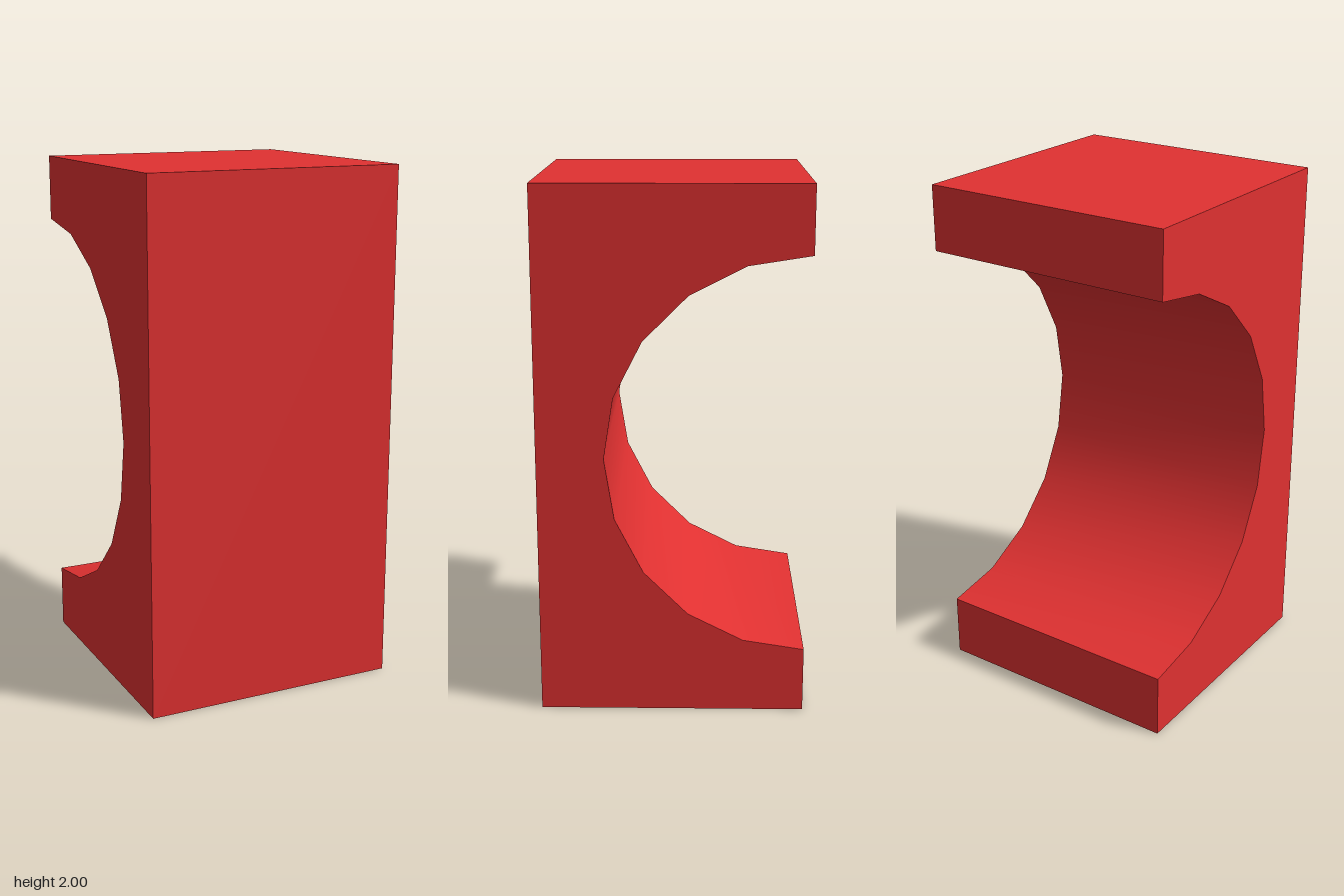
import * as THREE from 'three';
import { toCreasedNormals } from 'three/addons/utils/BufferGeometryUtils.js';

const WIDTH = 1, HEIGHT = 2, HALF_DEPTH = 0.5;
const RADIUS = 0.75, SEGMENTS = 10;

export function createModel() {
  const group = new THREE.Group();
  group.name = 'archBrick';

  // Side profile (z, y): a block with a half-round opening in its back
  const profile = new THREE.Shape();
  profile.moveTo(-HALF_DEPTH, 0);
  profile.lineTo(HALF_DEPTH, 0);
  profile.lineTo(HALF_DEPTH, HEIGHT);
  profile.lineTo(-HALF_DEPTH, HEIGHT);
  for (let i = 0; i <= SEGMENTS; i++) {
    const a = Math.PI / 2 - (i / SEGMENTS) * Math.PI;
    profile.lineTo(-HALF_DEPTH + RADIUS * Math.cos(a), HEIGHT / 2 + RADIUS * Math.sin(a));
  }
  profile.closePath();

  // Extrude across the width; smooth arch, sharp block edges
  const extruded = new THREE.ExtrudeGeometry(profile, { depth: WIDTH, bevelEnabled: false });
  extruded.translate(0, 0, -WIDTH / 2).rotateY(-Math.PI / 2);
  const geometry = toCreasedNormals(extruded, 0.5);

  const block = new THREE.Mesh(geometry, new THREE.MeshStandardMaterial({ color: 0xe03131 }));
  block.name = 'archBlock';
  group.add(block);
  return group;
}
